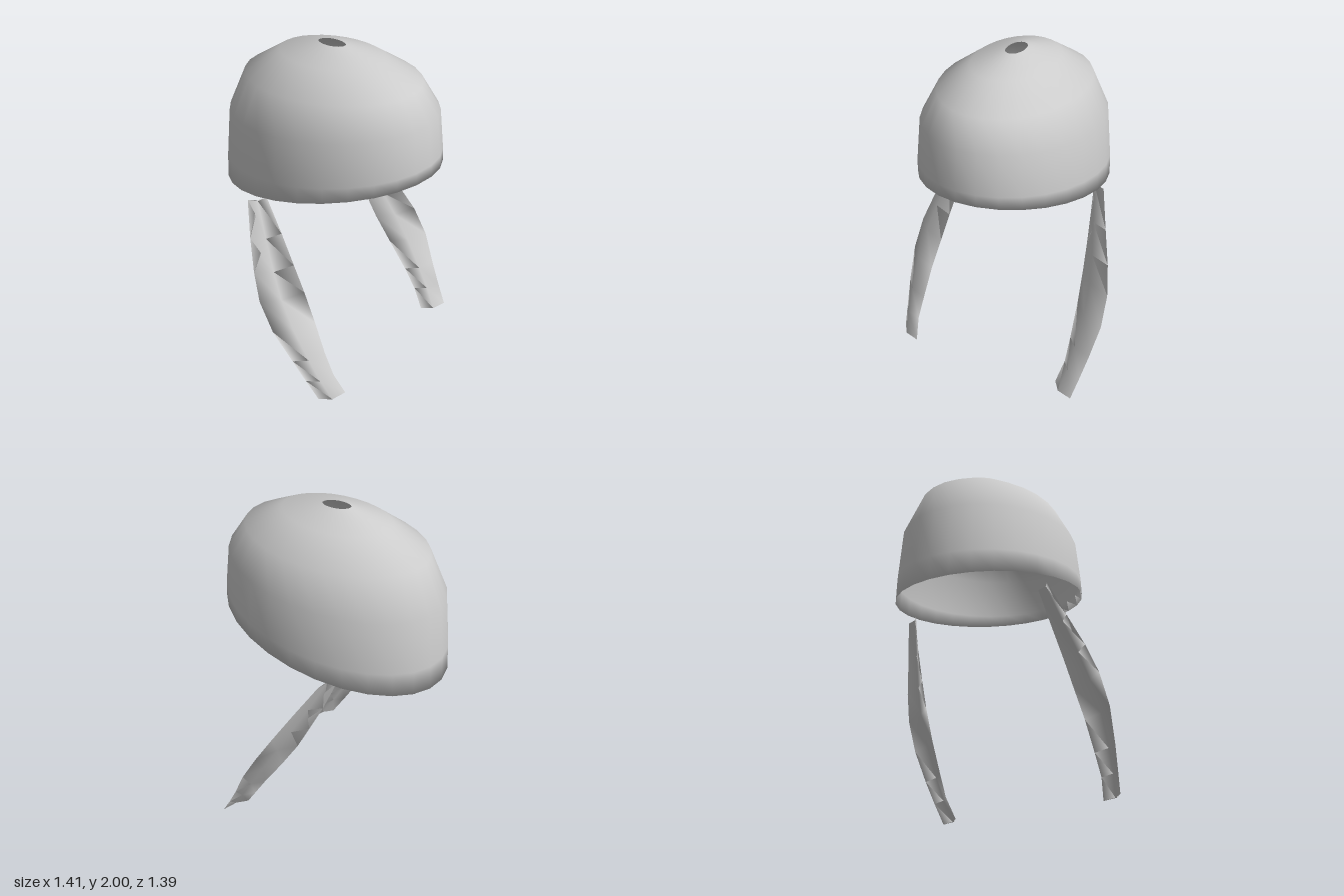
import * as THREE from 'three';

// Skins a list of closed rings (top to bottom, counter-clockwise from above)
function loft(rings) {
  const n = rings[0].length;
  const geometry = new THREE.BufferGeometry();
  geometry.setAttribute('position', new THREE.Float32BufferAttribute(rings.flat(2), 3));
  const index = [];
  for (let r = 0; r < rings.length - 1; r++) {
    for (let i = 0; i < n; i++) {
      const j = (i + 1) % n;
      const a = r * n + i, b = r * n + j, c = a + n, d = b + n;
      index.push(a, c, d, a, d, b);
    }
  }
  geometry.setIndex(index);
  geometry.computeVertexNormals();
  return geometry;
}

// Tilted elliptical ring: half width, half depth, height at front and back
function ellipseRing([rx, rz, yFront, yBack], scale = 1, drop = 0) {
  return Array.from({ length: 28 }, (_, i) => {
    const a = (i / 28) * Math.PI * 2;
    const y = (yFront + yBack) / 2 + ((yFront - yBack) / 2) * Math.cos(a);
    return [Math.sin(a) * rx * scale, y - drop, Math.cos(a) * rz * scale];
  });
}

export function createModel() {
  const model = new THREE.Group();
  const grey = new THREE.MeshStandardMaterial({ color: 0xcccccc, side: THREE.DoubleSide });
  grey.name = 'light grey';

  // Cap: outer skin from the crown hole to the slanted rim, then a thin lining back up
  const capRows = [
    [0.055, 0.09, 2.0, 2.0],
    [0.23, 0.335, 1.95, 1.92],
    [0.405, 0.56, 1.845, 1.77],
    [0.5, 0.665, 1.69, 1.52],
    [0.525, 0.692, 1.45, 1.2],
    [0.528, 0.697, 1.38, 1.05],
  ];
  const outer = capRows.map((row) => ellipseRing(row));
  const lining = capRows.slice(0, -1).map((row) => ellipseRing(row, row[0] < 0.1 ? 1 : 0.985, 0.008)).reverse();
  const cap = new THREE.Mesh(loft([...outer, ...lining]), grey);
  cap.name = 'cap';
  model.add(cap);

  // Straps: height, inner x, outer x, front z, back z
  const strapRows = [
    [1.115, 0.41, 0.5, -0.165, -0.233],
    [0.92, 0.43, 0.58, -0.04, -0.153],
    [0.75, 0.45, 0.65, 0.065, -0.07],
    [0.6, 0.465, 0.695, 0.155, 0.005],
    [0.43, 0.485, 0.705, 0.25, 0.11],
    [0.25, 0.5, 0.675, 0.335, 0.23],
    [0.12, 0.505, 0.65, 0.405, 0.31],
    [0, 0.48, 0.625, 0.476, 0.386],
  ];
  // Both straps twist the same way: the -x edge lies back, the +x edge lies forward
  for (const side of [1, -1]) {
    const rings = strapRows.map(([y, inner, outerX, front, back]) => {
      const x0 = side > 0 ? inner : -outerX;
      const x1 = side > 0 ? outerX : -inner;
      const mx = x0 + (x1 - x0) * 0.45, mz = back + (front - back) * 0.45;
      return [
        [x0, y, back],
        [mx - 0.015, y, mz + 0.025],
        [x1, y, front],
        [mx - 0.01, y, mz + 0.016],
      ];
    });
    const strap = new THREE.Mesh(loft(rings), grey);
    strap.name = side > 0 ? 'leftStrap' : 'rightStrap';
    model.add(strap);
  }

  return model;
}
